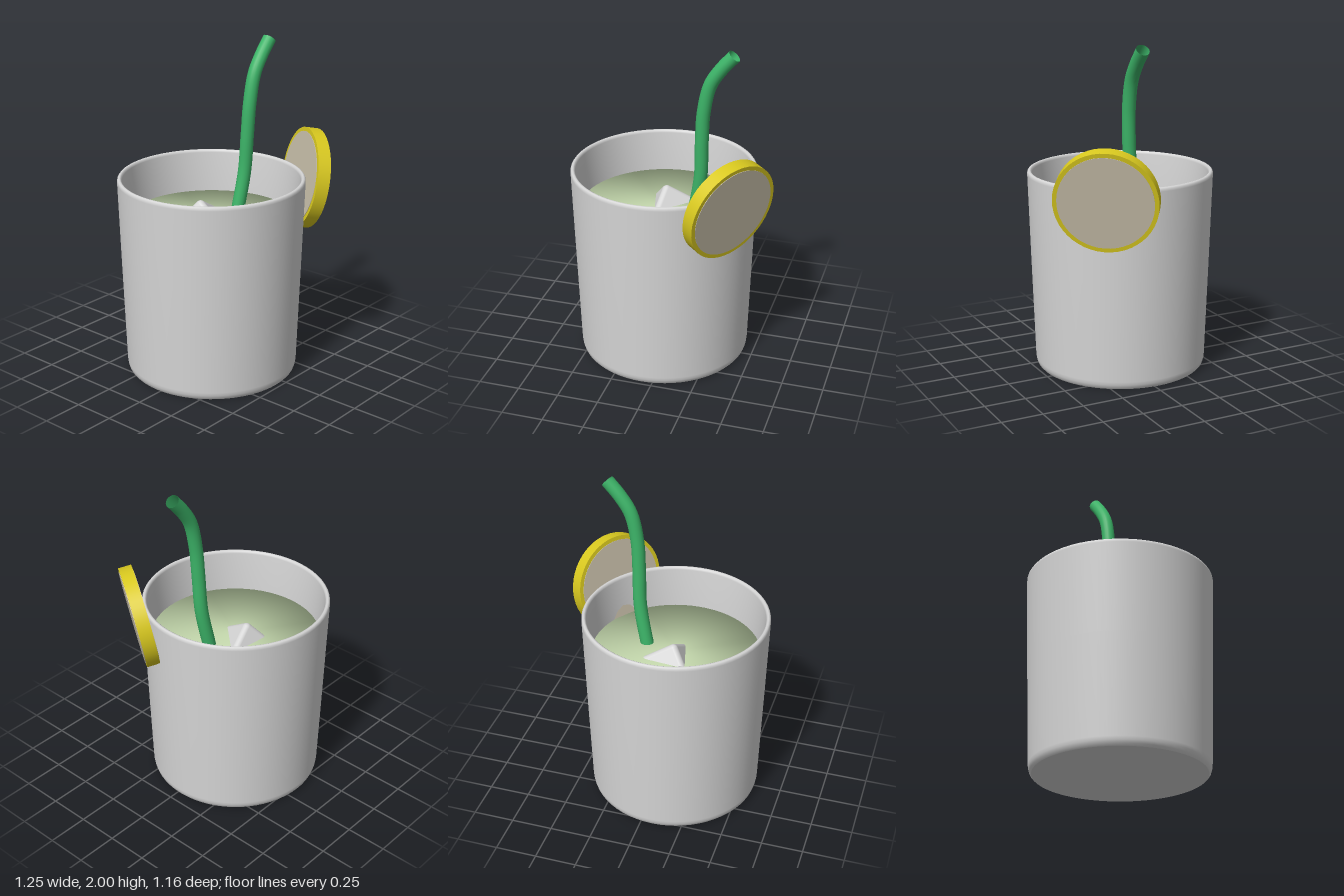
import * as THREE from 'three';
import { mergeVertices } from 'three/addons/utils/BufferGeometryUtils.js';
import { RoundedBoxGeometry } from 'three/addons/geometries/RoundedBoxGeometry.js';

const V3 = (x, y, z) => new THREE.Vector3(x, y, z);

function material(name, color, side = THREE.FrontSide) {
  const m = new THREE.MeshStandardMaterial({ color, side });
  m.name = name;
  return m;
}

export function createModel() {
  const model = new THREE.Group();
  model.name = 'icedDrink';

  const glass = material('pale grey glass', 0xd6d6d6);
  const drink = material('pale green drink', 0xc8dcb0);
  const green = material('green straw', 0x3cb468, THREE.DoubleSide);
  const peel = material('yellow peel', 0xd9c91f);
  const flesh = material('beige citrus flesh', 0xc8bfaa);

  const add = (parent, name, geometry, mat) => {
    const mesh = new THREE.Mesh(geometry, mat);
    mesh.name = name;
    parent.add(mesh);
    return mesh;
  };

  // Tapered cup with a rounded foot, rounded lip and hollow inside
  const lathe = (points) =>
    new THREE.LatheGeometry(points.map(([r, y]) => new THREE.Vector2(r, y)), 64);
  const cup = new THREE.Group();
  cup.name = 'cup';
  cup.position.set(-0.07, 0, -0.027);
  model.add(cup);
  add(cup, 'cupBase', lathe([[0, 0], [0.5, 0]]), glass);
  add(cup, 'cupWall', lathe([
    [0.5, 0], [0.511, 0.012], [0.517, 0.03], [0.52, 0.05], [0.54, 0.65], [0.557, 1.19],
    [0.556, 1.203], [0.55, 1.211], [0.541, 1.213], [0.533, 1.208], [0.529, 1.195],
    [0.507, 0.9], [0.492, 0.08],
  ]), glass);
  add(cup, 'cupFloor', lathe([[0.492, 0.08], [0, 0.08]]), glass);

  // Drink, shaded softly across its top edge
  let body = new THREE.CylinderGeometry(0.508, 0.497, 0.6, 64);
  body.deleteAttribute('normal');
  body.deleteAttribute('uv');
  body = mergeVertices(body);
  body.computeVertexNormals();
  add(cup, 'drink', body, drink).position.y = 0.65;

  // Ice cube with one corner rising out of the drink
  const size = 0.36;
  const ex = V3(-0.075, -0.1, -0.07).normalize();
  const ez = V3(-0.015, -0.1, 0.16);
  ez.addScaledVector(ex, -ez.dot(ex)).normalize();
  const ey = ez.clone().cross(ex);
  const corner = V3(-0.085, 1.065, -0.11);
  const ice = add(model, 'iceCube', new RoundedBoxGeometry(size, size, size, 4, 0.03), glass);
  ice.quaternion.setFromRotationMatrix(new THREE.Matrix4().makeBasis(ex, ey, ez));
  const ySign = ey.y < 0 ? 1 : -1;
  ice.position.copy(corner)
    .addScaledVector(ex, size / 2)
    .addScaledVector(ey, ySign * size / 2)
    .addScaledVector(ez, size / 2);

  // Bent open straw
  const path = new THREE.CatmullRomCurve3([
    V3(0.08, 0.75, 0.005), V3(0.125, 0.95, 0.013), V3(0.17, 1.2, 0.03), V3(0.178, 1.42, 0.042),
    V3(0.19, 1.62, 0.05), V3(0.228, 1.79, 0.053), V3(0.29, 1.89, 0.054), V3(0.365, 1.977, 0.054),
  ]);
  add(model, 'straw', new THREE.TubeGeometry(path, 48, 0.04, 20, false), green);

  // Citrus slice leaning outward on the rim
  const slice = new THREE.Group();
  slice.name = 'citrusSlice';
  slice.position.set(0.411, 1.155, 0.306);
  slice.quaternion.setFromUnitVectors(V3(0, 1, 0), V3(0.81, -0.19, 0.56).normalize());
  model.add(slice);
  add(slice, 'peel', new THREE.CylinderGeometry(0.302, 0.302, 0.078, 48), peel);
  for (const side of [-1, 1]) {
    add(slice, 'flesh', new THREE.CylinderGeometry(0.277, 0.277, 0.004, 48), flesh)
      .position.y = side * 0.04;
  }

  return model;
}
